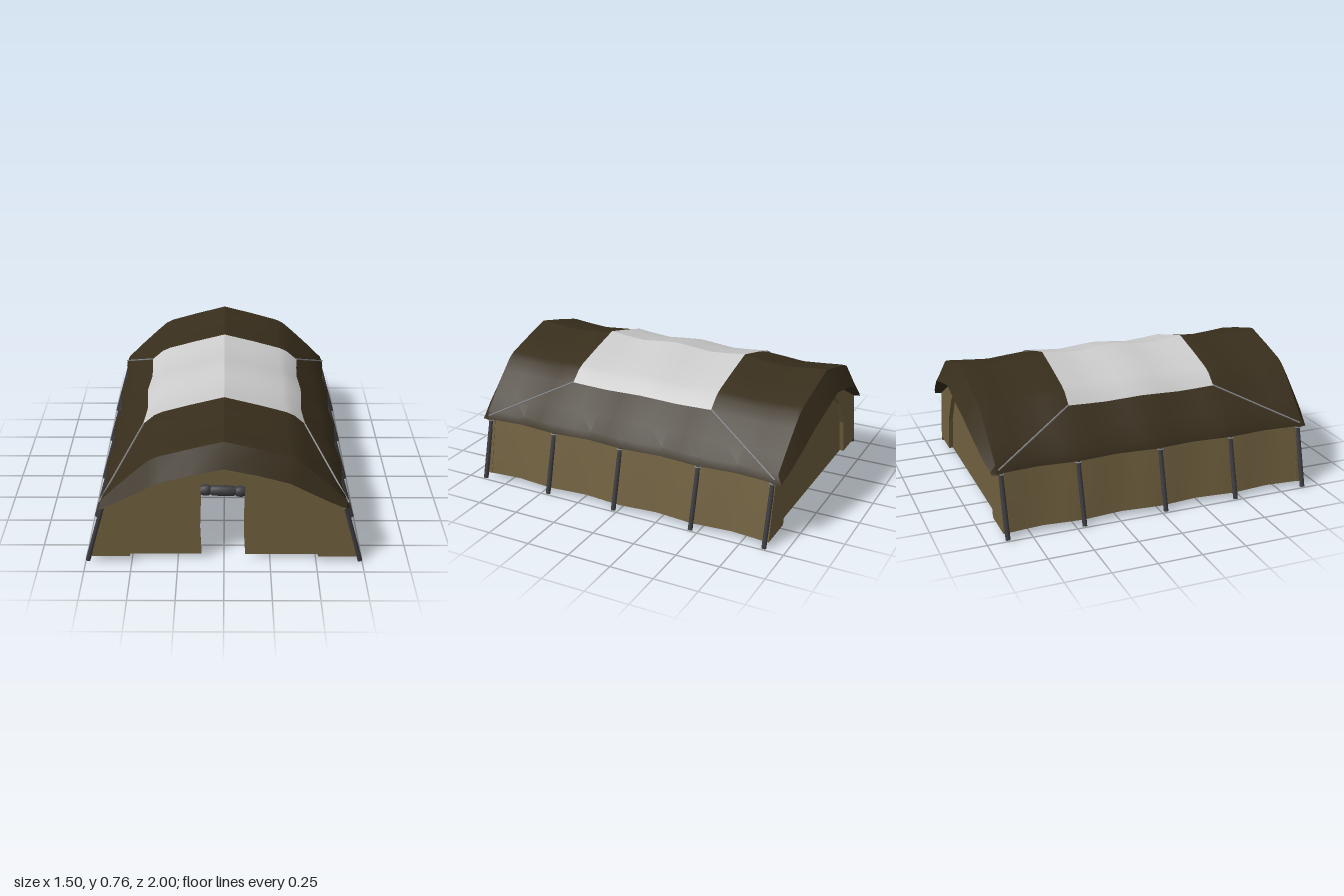
import * as THREE from 'three';
import { toCreasedNormals } from 'three/addons/utils/BufferGeometryUtils.js';

const mat = (color) => new THREE.MeshStandardMaterial({ color, side: THREE.DoubleSide });
const canvasDark = mat(0x382e1c), canvas = mat(0x6f5f3e), clear = mat(0xcccccc);
const poleMat = mat(0x3c3c40), cordMat = mat(0x85878a);

// Half sections [x, y] from ridge outwards: roof, outer side wall, inner lining
const ROOF = [[0, 0.757], [0.18, 0.711], [0.34, 0.666], [0.385, 0.645], [0.45, 0.588], [0.56, 0.485], [0.645, 0.40], [0.662, 0.355]];
const WALL = [[0.645, 0.36], [0.682, 0.2], [0.717, 0.032]];
const LINING = [[0, 0.66], [0.17, 0.63], [0.3, 0.59], [0.42, 0.505], [0.585, 0.375], [0.62, 0.3], [0.65, 0.2], [0.69, 0.032]];
// Half outlines of the end wall and its recessed panel
const END = [[0, 0.625], [0.3, 0.565], [0.62, 0.38], ...WALL];
const ARCH = [[0, 0.565], [0.22, 0.537], [0.37, 0.405], [0.47, 0.24], [0.51, 0.032]];

// Full section from -x to +x
const mirror = (half) => [...half.slice(1).reverse().map(([x, y]) => [-x, y]), ...half];

// Piecewise linear lookup in |x|
function lerpTable(table, x) {
  const a = Math.abs(x);
  for (let i = 1; i < table.length; i++) {
    const [x0, y0] = table[i - 1], [x1, y1] = table[i];
    if (a <= x1) return y0 + (y1 - y0) * (a - x0) / (x1 - x0);
  }
  return table[table.length - 1][1];
}

// Cloth sags between the five hoops
const sag = (z) => 0.5 - 0.5 * Math.cos(2 * Math.PI * z / 0.455);
function sagged(section, z) {
  const s = sag(z);
  return section.map(([x, y]) => [x * (1 - 0.028 * s), y - 0.02 * s * Math.max(0, (y - 0.35) / 0.41), z]);
}

// Skin rows of points running -x to +x, rows ordered by z
function loft(name, rows, material) {
  const n = rows[0].length, index = [];
  for (let i = 0; i < rows.length - 1; i++) {
    for (let j = 0; j < n - 1; j++) {
      const a = i * n + j, b = a + 1, c = a + n, d = c + 1;
      index.push(a, c, b, b, c, d);
    }
  }
  const g = new THREE.BufferGeometry();
  g.setAttribute('position', new THREE.Float32BufferAttribute(rows.flat(2), 3));
  g.setIndex(index);
  const mesh = new THREE.Mesh(toCreasedNormals(g, 0.45), material);
  mesh.name = name;
  return mesh;
}

// Rows made by a rule at even steps from -half to +half
function stations(half, steps, rowAt) {
  return Array.from({ length: steps + 1 }, (_, i) => rowAt(-half + 2 * half * i / steps));
}

function rod(name, a, b, r, material, sides = 10) {
  const p = new THREE.Vector3(...a), q = new THREE.Vector3(...b);
  const mesh = new THREE.Mesh(new THREE.CylinderGeometry(r, r, p.distanceTo(q), sides), material);
  mesh.position.copy(p).add(q).multiplyScalar(0.5);
  mesh.quaternion.setFromUnitVectors(new THREE.Vector3(0, 1, 0), q.sub(p).normalize());
  mesh.name = name;
  return mesh;
}

// Roof with an overhanging visor and soffit at each end
function makeRoof() {
  const section = mirror(ROOF);
  const lipY = [[0, 0.635], [0.3, 0.57], [0.66, 0.352]];
  const lipZ = [[0, 1], [0.28, 1], [0.54, 0.965], [0.66, 0.938]];
  const edgeZ = [[0, 0.93], [0.34, 0.925], [0.66, 0.912]];
  const soffitY = [[0, 0.6], [0.3, 0.538], [0.66, 0.345]];
  const row = (s, y, z) => section.map((p) => [p[0], y ? lerpTable(y, p[0]) : p[1], s * lerpTable(z, p[0])]);
  const end = (s) => [row(s, null, edgeZ), row(s, lipY, lipZ), row(s, soffitY, [[0, 0.885], [1, 0.885]])];
  const cover = stations(0.9, 16, (z) => sagged(section, z));
  return loft('roof', [...end(-1).reverse(), ...cover, ...end(1)], canvasDark);
}

// Sagging outer side walls, hemmed to a taut inner lining
function makeBody() {
  const left = WALL.map(([x, y]) => [-x, y]), right = [...WALL].reverse(), inner = mirror(LINING);
  return loft('sideWallsAndLining', stations(0.9, 16, (z) =>
    [...sagged(left, z), ...inner.map(([x, y]) => [x, y, z]), ...sagged(right, z)]), canvas);
}

// End wall: raised frame around a recessed arched panel
function makeEndWall(hasDoor) {
  const wall = new THREE.Group();
  const pts = (list) => list.map(([x, y]) => new THREE.Vector2(x, y));
  const frameShape = new THREE.Shape(pts([...mirror(END), ...mirror(ARCH).reverse()]));
  const frame = new THREE.Mesh(new THREE.ExtrudeGeometry(frameShape, { depth: 0.035, bevelEnabled: false }), canvas);
  frame.position.z = 0.867;
  frame.name = 'endFrame';

  const outline = mirror(ARCH);
  if (hasDoor) outline.push([0.115, 0.032], [0.108, 0.16], [0.108, 0.43], [-0.12, 0.43], [-0.128, 0.2], [-0.122, 0.032]);
  const panel = new THREE.Mesh(
    new THREE.ExtrudeGeometry(new THREE.Shape(pts(outline)), { depth: 0.012, bevelEnabled: false }), canvas);
  panel.position.z = 0.866;
  panel.name = 'endPanel';
  wall.add(frame, panel);

  if (hasDoor) {
    // Door rolled up above the opening, pinched by two straps
    const profile = [[0, -0.117], [0.024, -0.117], [0.031, -0.1], [0.029, -0.075], [0.022, -0.066], [0.028, -0.055],
      [0.03, 0], [0.028, 0.055], [0.022, 0.066], [0.03, 0.075], [0.031, 0.1], [0.024, 0.117], [0, 0.117]];
    const roll = new THREE.Mesh(toCreasedNormals(new THREE.LatheGeometry(pts(profile), 14), 0.7), poleMat);
    roll.rotation.z = Math.PI / 2 - 0.04;
    roll.position.set(-0.006, 0.443, 0.89);
    roll.name = 'rolledDoor';
    wall.add(roll);
  }
  return wall;
}

export function createModel() {
  const tent = new THREE.Group();
  tent.name = 'tent';
  tent.add(makeRoof(), makeBody());

  // Skylight sheet lying on the roof
  const sky = mirror(ROOF.slice(0, 5)).map(([x, y]) => [x * 1.006, y + 0.008]);
  tent.add(loft('skylight', stations(0.438, 8, (z) => sagged(sky, z)), clear));

  const front = makeEndWall(true), back = makeEndWall(false);
  front.name = 'frontWall';
  back.name = 'backWall';
  back.rotation.y = Math.PI;
  tent.add(front, back);

  // Leaning side poles with an eave ring, and guy cords over the roof corners
  for (const s of [-1, 1]) {
    for (const z of [-0.885, -0.455, 0.025, 0.458, 0.895]) {
      tent.add(rod('sidePole', [s * 0.739, 0.004, z], [s * 0.642, 0.352, z], 0.0135, poleMat));
      const ring = new THREE.Mesh(new THREE.TorusGeometry(0.015, 0.004, 6, 12), cordMat);
      ring.rotation.x = Math.PI / 2;
      ring.position.set(s * 0.645, 0.345, z);
      ring.name = 'poleRing';
      tent.add(ring);
    }
    for (const e of [-1, 1]) {
      tent.add(rod('roofCord', [s * 0.45, 0.597, e * 0.438], [s * 0.66, 0.375, e * 0.9], 0.005, cordMat, 6));
    }
  }
  return tent;
}
